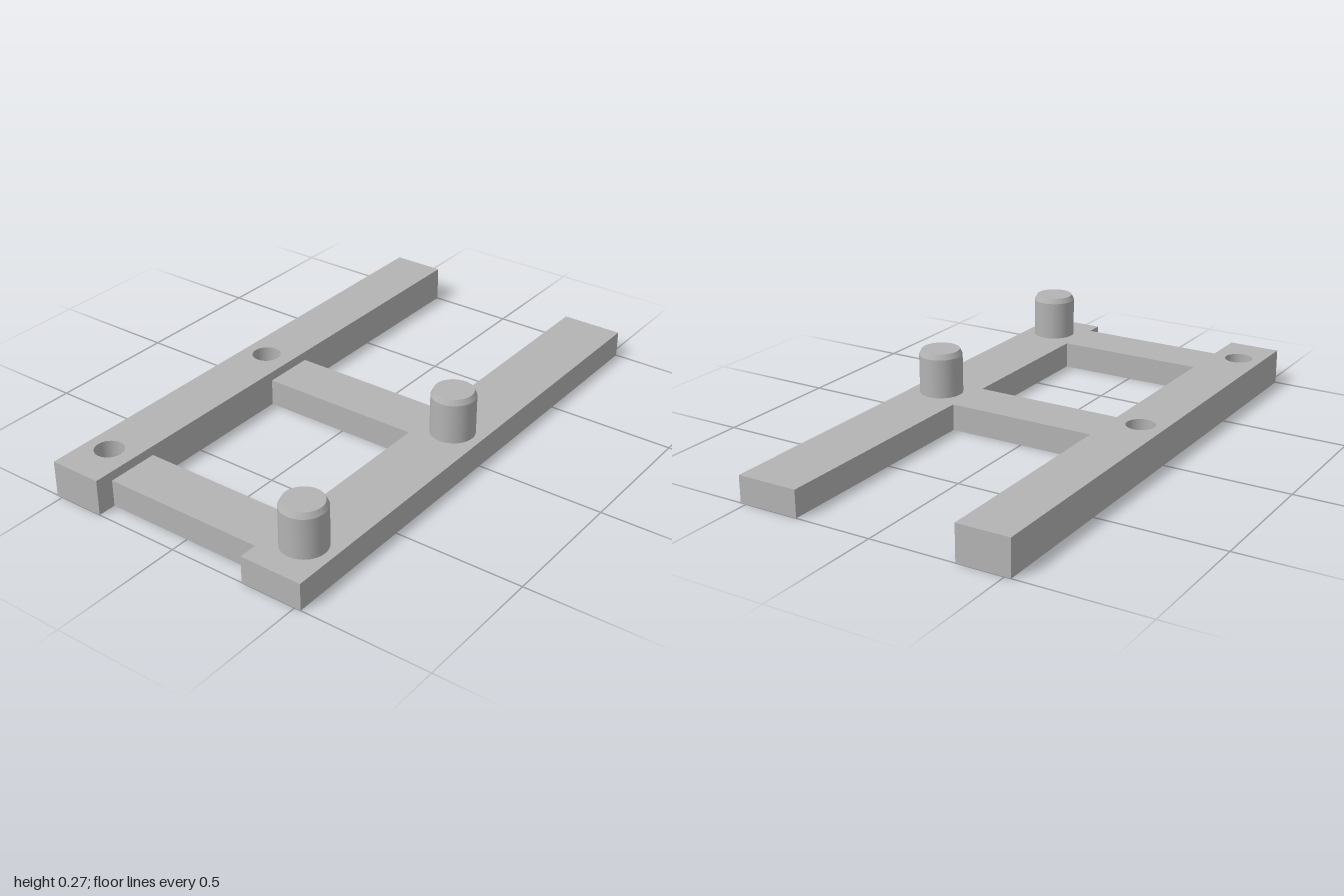
import * as THREE from 'three';

const pegX = [-0.833, 0];          // stations shared by rungs, pegs and sockets
const rungHalf = 0.098;
const front = 0.523, frontInner = 0.29, railInner = -0.325, back = -0.523;
const frameTop = 0.1, railTop = 0.134, socketFloor = 0.034;

// Plan outline given as [x, z] corners
function plan(points) {
  return new THREE.Shape(points.map(([x, z]) => new THREE.Vector2(x, -z)));
}

// Stands a plan shape up from y0 to y1
function slab(shape, y0, y1) {
  const g = new THREE.ExtrudeGeometry(shape, { depth: y1 - y0, bevelEnabled: false, curveSegments: 32 });
  return g.rotateX(-Math.PI / 2).translate(0, y0, 0);
}

export function createModel() {
  const model = new THREE.Group();
  model.name = 'pegFrame';
  const grey = new THREE.MeshStandardMaterial({ color: 0xb3b3b3 });
  grey.name = 'grey';

  const add = (name, geometry, parent = model) => {
    const mesh = new THREE.Mesh(geometry, grey);
    mesh.name = name;
    parent.add(mesh);
    return mesh;
  };

  // Front bar and its two rungs in one outline
  const outline = [[-1, front], [1, front], [1, frontInner]];
  for (const x of [...pegX].reverse()) {
    outline.push([x + rungHalf, frontInner], [x + rungHalf, railInner],
      [x - rungHalf, railInner], [x - rungHalf, frontInner]);
  }
  outline.push([-1, frontInner]);
  add('frontBarWithRungs', slab(plan(outline), 0, frameTop));

  // Taller rear rail: solid base and an upper layer pierced by the sockets
  const railPlan = () => plan([[-1, railInner], [1, railInner], [1, back], [-1, back]]);
  const rail = new THREE.Group();
  rail.name = 'rearRail';
  model.add(rail);
  add('railBase', slab(railPlan(), 0, socketFloor), rail);
  const pierced = railPlan();
  for (const x of pegX) {
    pierced.holes.push(new THREE.Path().absarc(x, 0.43, 0.053, 0, Math.PI * 2, true));
  }
  add('railWithSockets', slab(pierced, socketFloor, railTop), rail);

  // Upright pegs with chamfered tips
  for (const x of pegX) {
    const peg = new THREE.Group();
    peg.name = 'peg';
    peg.position.set(x, frameTop, 0.408);
    const bodyHeight = 0.148, tipHeight = 0.02;
    add('pegBody', new THREE.CylinderGeometry(0.081, 0.081, bodyHeight, 48, 1, true), peg)
      .position.y = bodyHeight / 2;
    add('pegTip', new THREE.CylinderGeometry(0.071, 0.081, tipHeight, 48), peg)
      .position.y = bodyHeight + tipHeight / 2;
    model.add(peg);
  }
  return model;
}
